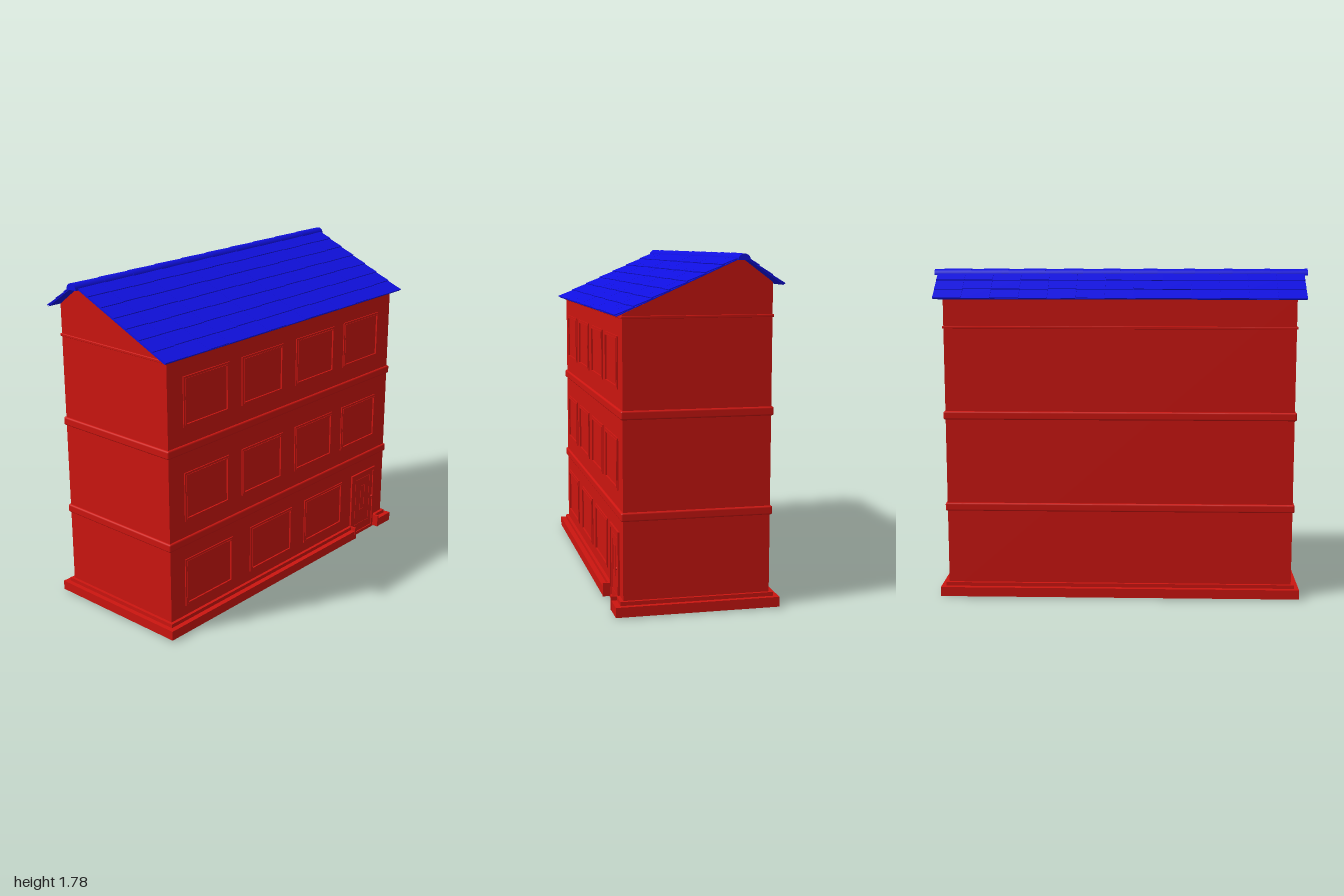
import * as THREE from 'three';
import { RoundedBoxGeometry } from 'three/addons/geometries/RoundedBoxGeometry.js';

const red = new THREE.MeshStandardMaterial({ color: 0xcc1510 });
const blue = new THREE.MeshStandardMaterial({ color: 0x1010e0 });

const polygon = (pts) => new THREE.Shape(pts.map(([x, y]) => new THREE.Vector2(x, y)));

function add(parent, name, geometry, material, x = 0, y = 0, z = 0) {
  const mesh = new THREE.Mesh(geometry, material);
  mesh.name = name;
  mesh.position.set(x, y, z);
  parent.add(mesh);
  return mesh;
}

function box(parent, name, x0, x1, y0, y1, z0, z1, material = red) {
  const g = new THREE.BoxGeometry(x1 - x0, y1 - y0, z1 - z0);
  return add(parent, name, g, material, (x0 + x1) / 2, (y0 + y1) / 2, (z0 + z1) / 2);
}

// Plinth slab, notched at the front where the door stands
function plinth(parent, name, hx, hz, y0, y1) {
  const shape = polygon([[-hx, -hz], [0.615, -hz], [0.615, -0.37], [0.84, -0.37],
    [0.84, -hz], [hx, -hz], [hx, hz], [-hx, hz]]);
  const g = new THREE.ExtrudeGeometry(shape, { depth: y1 - y0, bevelEnabled: false });
  add(parent, name, g.rotateX(-Math.PI / 2), red, 0, y0, 0);
}

// Raised rectangular border with a stepped inner edge
function frame(parent, name, x0, x1, y0, y1, z, steps) {
  for (const [inset, width, depth] of steps) {
    const a = x0 + inset, b = x1 - inset, c = y0 + inset, d = y1 - inset;
    const shape = polygon([[a, c], [b, c], [b, d], [a, d]]);
    shape.holes.push(polygon([[a + width, c + width], [a + width, d - width],
      [b - width, d - width], [b - width, c + width]]));
    const g = new THREE.ExtrudeGeometry(shape, { depth, bevelEnabled: false });
    add(parent, name, g, red, 0, 0, z);
  }
}

// One pitch of the roof: a thin sheet covered in overlapping rows of tiles
function roofPitch(name, eaveZ, eaveY, ridgeZ, ridgeY, rows) {
  const pitch = new THREE.Group();
  pitch.name = name;
  const run = Math.abs(eaveZ - ridgeZ), rise = ridgeY - eaveY;
  const length = Math.hypot(run, rise), step = length / rows;
  pitch.position.set(0, eaveY, eaveZ);
  pitch.rotation.order = 'YXZ';
  pitch.rotation.set(Math.atan2(rise, run), eaveZ < ridgeZ ? Math.PI : 0, 0);
  box(pitch, 'roofSheet', -0.98, 0.98, -0.003, 0.001, -length, 0, blue);
  const columns = 13, width = 1.964 / columns;
  for (let r = 0; r < rows; r++) {
    for (let c = 0; c < columns; c++) {
      const g = new THREE.BoxGeometry(width - 0.001, 0.005, step * 1.08);
      const slip = 0.002 * Math.sin(c * 2.3 + r * 1.7);
      const tile = add(pitch, 'roofTile', g, blue,
        -0.982 + (c + 0.5) * width, 0.005, -(r + 0.5) * step + slip);
      tile.rotation.x = -0.05;
    }
  }
  return pitch;
}

export function createModel() {
  const house = new THREE.Group();
  house.name = 'townHouse';

  // Walls: gable profile (z, y) swept along x
  const profile = polygon([[-0.375, 0.01], [0.375, 0.01], [0.375, 1.487],
    [-0.2, 1.75], [-0.22, 1.75], [-0.375, 1.635]]);
  const walls = new THREE.ExtrudeGeometry(profile, { depth: 1.868, bevelEnabled: false });
  add(house, 'walls', walls.rotateY(-Math.PI / 2), red, 0.934, 0, 0);

  // Plinth and its returns beside the door
  plinth(house, 'plinth', 0.975, 0.42, 0.005, 0.056);
  plinth(house, 'plinthStep', 0.95, 0.392, 0.056, 0.076);
  for (const x of [0.603, 0.84]) box(house, 'plinthReturn', x, x + 0.012, 0.005, 0.076, 0.37, 0.422);

  // String courses between the storeys and below the eaves
  for (const [y, h, over] of [[0.498, 0.045, 0.011], [1.0, 0.045, 0.011], [1.472, 0.014, 0.007]]) {
    const g = new RoundedBoxGeometry(1.868 + over * 2, h, 0.75 + over * 2, 2, h * 0.2);
    add(house, 'stringCourse', g, red, 0, y, 0);
  }

  // Windows
  const upper = [[-0.825, -0.49], [-0.39, -0.055], [0.055, 0.395], [0.485, 0.82]];
  const lower = [[-0.83, -0.465], [-0.32, 0.04], [0.155, 0.515]];
  for (const [y0, y1, bays] of [[0.13, 0.395, lower], [0.607, 0.871, upper], [1.112, 1.376, upper]]) {
    for (const [x0, x1] of bays) {
      frame(house, 'windowFrame', x0, x1, y0, y1, 0.374, [[0, 0.012, 0.007], [0.011, 0.006, 0.01]]);
    }
  }

  // Door with surround, panel and knob
  const door = new THREE.Group();
  door.name = 'door';
  house.add(door);
  box(door, 'doorLeaf', 0.615, 0.84, 0, 0.395, 0.36, 0.379);
  frame(door, 'doorSurround', 0.61, 0.845, 0, 0.4, 0.374, [[0, 0.018, 0.011]]);
  frame(door, 'doorPanel', 0.655, 0.8, 0.06, 0.36, 0.378, [[0, 0.006, 0.003]]);
  frame(door, 'doorInset', 0.705, 0.75, 0.15, 0.31, 0.378, [[0, 0.005, 0.003]]);
  add(door, 'doorKnob', new THREE.SphereGeometry(0.008, 12, 8), red, 0.82, 0.21, 0.384);

  // Roof pitches
  house.add(roofPitch('frontRoof', 0.412, 1.482, -0.2, 1.755, 7));
  house.add(roofPitch('backRoof', -0.415, 1.625, -0.22, 1.757, 3));

  // Ridge of half-round capping tiles
  const count = 10, len = 2 / count;
  for (let i = 0; i < count; i++) {
    const cap = new THREE.CylinderGeometry(0.034, 0.031, len, 16, 1, false, 0, Math.PI);
    cap.rotateZ(Math.PI / 2);
    const mesh = add(house, 'ridgeTile', cap, blue, -1 + (i + 0.5) * len, 1.743, -0.21);
    mesh.material = ridgeMaterial;
  }
  return house;
}

const ridgeMaterial = new THREE.MeshStandardMaterial({ color: 0x1010e0, side: THREE.DoubleSide });
